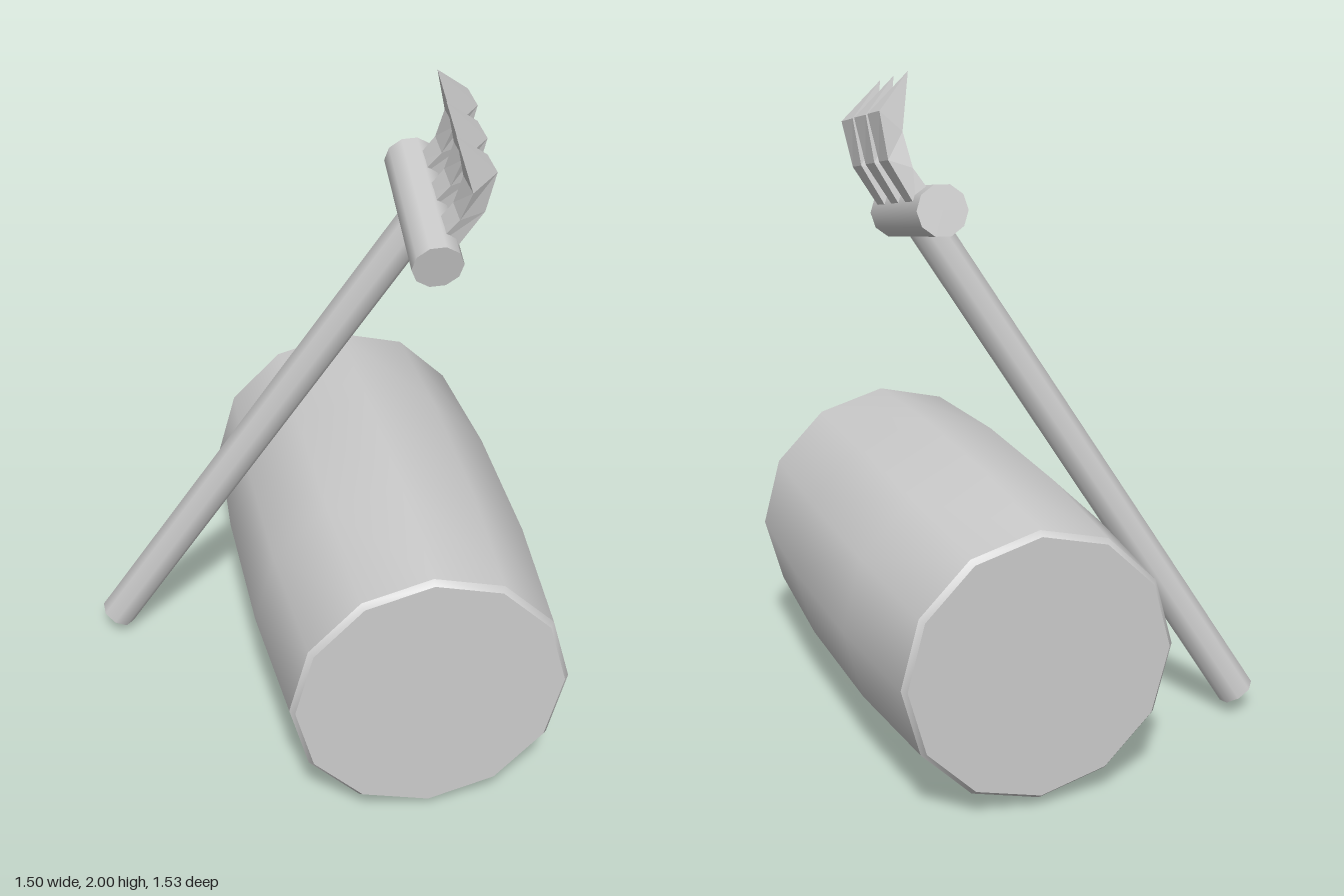
import * as THREE from 'three';
import { toCreasedNormals } from 'three/addons/utils/BufferGeometryUtils.js';

const V = (x, y, z) => new THREE.Vector3(x, y, z);
const material = new THREE.MeshStandardMaterial({ color: 0xcccccc });
const flatMaterial = new THREE.MeshStandardMaterial({ color: 0xcccccc, flatShading: true });

function part(name, geometry, mat = material) {
  const mesh = new THREE.Mesh(geometry, mat);
  mesh.name = name;
  return mesh;
}

// Closed cylinder running between two points
function rod(name, from, to, radius, sides) {
  const dir = to.clone().sub(from);
  const mesh = part(name, new THREE.CylinderGeometry(radius, radius, dir.length(), sides));
  mesh.position.copy(from).add(to).multiplyScalar(0.5);
  mesh.quaternion.setFromUnitVectors(V(0, 1, 0), dir.normalize());
  return mesh;
}

// Tapered claw: rectangular sections lofted from the crossbar to one sharp point
function clawGeometry() {
  const outer = [V(0.315, 1.6, -0.088), V(0.392, 1.73, -0.08), V(0.417, 1.86, -0.06)];
  const inner = [V(0.255, 1.61, -0.078), V(0.325, 1.705, -0.068), V(0.355, 1.80, -0.045)];
  const half = [V(0.009, -0.008, 0.034), V(0.012, -0.009, 0.034), V(0.016, -0.01, 0.032)];
  const tip = V(0.32, 1.962, -0.003);
  const points = [];
  outer.forEach((o, i) => {
    const n = inner[i], h = half[i];
    points.push(o.clone().sub(h), o.clone().add(h), n.clone().add(h), n.clone().sub(h));
  });
  points.push(tip);
  const index = [0, 1, 2, 0, 2, 3];
  for (let k = 0; k < 4; k++) {
    const m = (k + 1) % 4;
    for (let r = 0; r < 8; r += 4) {
      index.push(r + k, r + 4 + k, r + m, r + m, r + 4 + k, r + 4 + m);
    }
    index.push(8 + k, 12, 8 + m);
  }
  const geometry = new THREE.BufferGeometry().setFromPoints(points);
  geometry.setIndex(index);
  const flat = geometry.toNonIndexed();
  flat.computeVertexNormals();
  return flat;
}

export function createModel() {
  const model = new THREE.Group();
  model.name = 'barrelAndRake';

  // Bulging twelve-sided barrel lying on its side
  const profile = [
    [0, -0.677], [0.391, -0.677], [0.405, -0.66], [0.4325, -0.24],
    [0.4325, 0.24], [0.405, 0.66], [0.391, 0.677], [0, 0.677],
  ].map(([r, s]) => new THREE.Vector2(r, s));
  const barrelGeometry = new THREE.LatheGeometry(profile, 12);
  barrelGeometry.rotateX(Math.PI / 2);
  const barrel = part('barrel', toCreasedNormals(barrelGeometry, 0.6));
  barrel.position.set(0.163, 0.4325, 0);
  barrel.rotation.y = 0.312;
  model.add(barrel);

  // Hand rake leaning against the barrel
  const rake = new THREE.Group();
  rake.name = 'rake';
  rake.add(rod('handle', V(-0.698, 0.062, -0.077), V(0.255, 1.58, -0.083), 0.056, 8));
  rake.add(rod('crossbar', V(0.2, 1.645, -0.302), V(0.32, 1.537, 0.145), 0.074, 10));

  // Three claws spaced along the crossbar
  const claw = clawGeometry();
  for (let i = -1; i <= 1; i++) {
    const mesh = part('claw', claw, flatMaterial);
    mesh.position.set(0.036 * i, -0.035 * i, 0.1325 * i);
    rake.add(mesh);
  }
  model.add(rake);
  return model;
}
